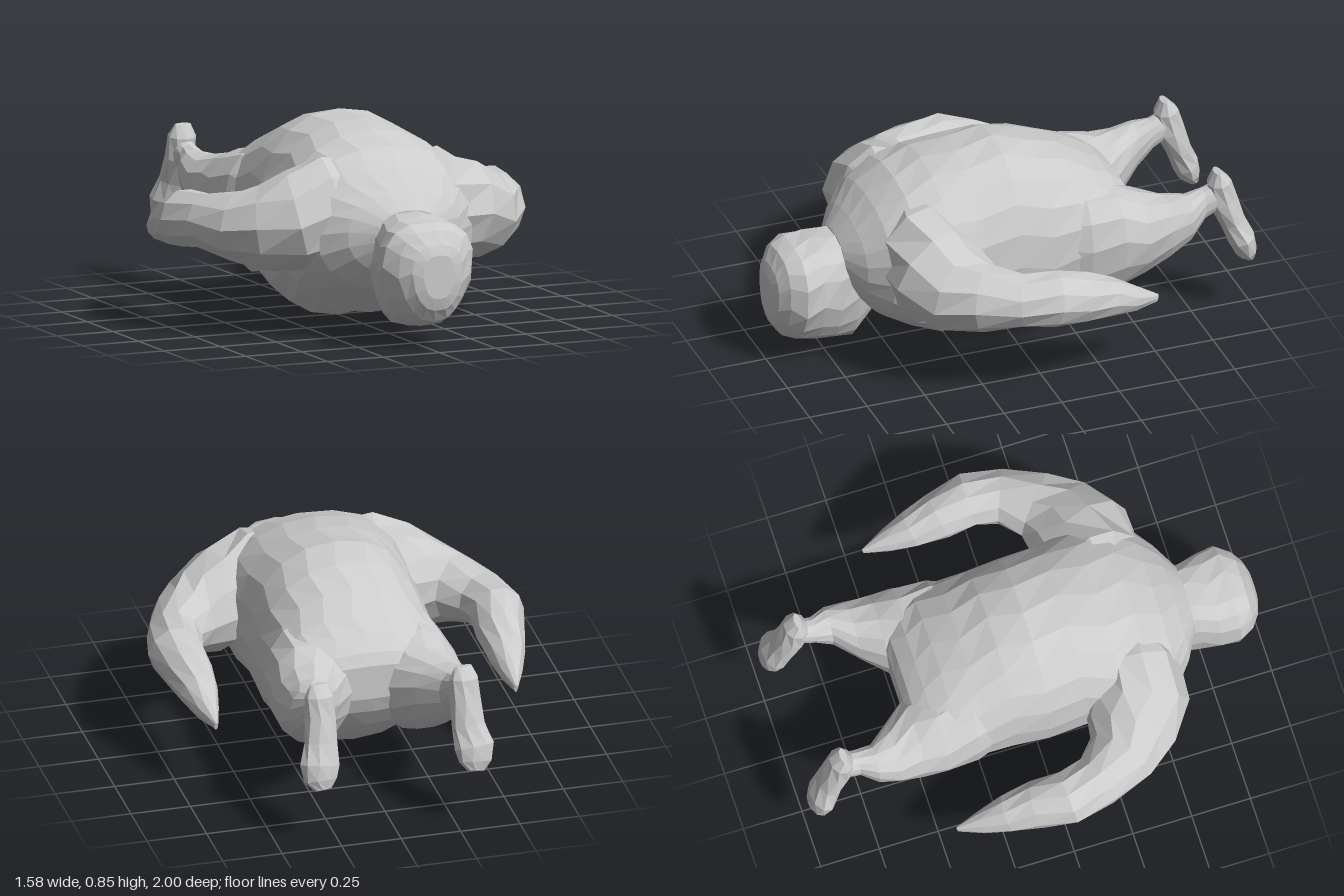
import * as THREE from 'three';

const material = new THREE.MeshStandardMaterial({ color: 0xcccccc, flatShading: true, side: THREE.DoubleSide });

// Skin a row of rounded rings. Each station: [x, y, z, half width, half height, taper]
// taper > 0 narrows the lower half of the ring.
function loft(name, stations, { sides = 14, up = [0, 1, 0], fixed = false, power = 2 } = {}) {
  const pos = [], index = [], ref = new THREE.Vector3(...up);
  const centres = stations.map(s => new THREE.Vector3(s[0], s[1], s[2]));
  const last = stations.length - 1;
  stations.forEach(([, , , w, h, taper = 0], i) => {
    const t = centres[Math.min(i + 1, last)].clone().sub(centres[Math.max(i - 1, 0)]).normalize();
    if (fixed) t.set(0, 0, -1);
    const across = new THREE.Vector3().crossVectors(ref, t).normalize();
    const high = new THREE.Vector3().crossVectors(t, across);
    for (let k = 0; k < sides; k++) {
      const a = (k + (i % 2) * 0.25) / sides * Math.PI * 2;
      const c = Math.cos(a), s = Math.sin(a);
      const v = Math.sign(s) * Math.abs(s) ** (2 / power);
      const u = Math.sign(c) * Math.abs(c) ** (2 / power) * (1 + taper * Math.min(v, 0));
      const p = centres[i].clone().addScaledVector(across, u * w).addScaledVector(high, v * h);
      pos.push(p.x, p.y, p.z);
    }
  });
  for (let i = 0; i < last; i++) for (let k = 0; k < sides; k++) {
    const a = i * sides + k, b = i * sides + (k + 1) % sides;
    index.push(a, b, a + sides, b, b + sides, a + sides);
  }
  // Close both ends
  const n = pos.length / 3;
  pos.push(...centres[0].toArray(), ...centres[last].toArray());
  for (let k = 0; k < sides; k++) {
    const j = (k + 1) % sides;
    index.push(n, j, k, n + 1, last * sides + k, last * sides + j);
  }
  const g = new THREE.BufferGeometry();
  g.setAttribute('position', new THREE.Float32BufferAttribute(pos, 3));
  g.setIndex(index);
  g.computeVertexNormals();
  const mesh = new THREE.Mesh(g, material);
  mesh.name = name;
  return mesh;
}

// Ring facing along z, given by its top and bottom heights
const ring = (z, w, top, bottom, taper, x = 0) => [x, (top + bottom) / 2, z, w, (top - bottom) / 2, taper];

export function createModel() {
  const model = new THREE.Group();
  model.name = 'lyingFigure';

  // Rounded torso with a big belly, thinning to a wedge between the hips
  model.add(loft('torso', [
    ring(0.71, 0.14, 0.54, 0.36), ring(0.65, 0.25, 0.61, 0.27), ring(0.57, 0.35, 0.69, 0.19),
    ring(0.46, 0.41, 0.765, 0.13), ring(0.33, 0.4, 0.81, 0.06), ring(0.18, 0.37, 0.835, 0.06),
    ring(0.02, 0.365, 0.85, 0.0), ring(-0.12, 0.36, 0.82, 0.03), ring(-0.25, 0.36, 0.765, 0.08),
    ring(-0.36, 0.365, 0.71, 0.16, 0.1), ring(-0.44, 0.36, 0.655, 0.24, 0.1), ring(-0.5, 0.33, 0.6, 0.33, 0.1),
    ring(-0.525, 0.3, 0.55, 0.4),
  ], { sides: 20, fixed: true, power: 2.2 }));

  // Head, wide at the crown and narrow at the chin
  model.add(loft('head', [
    ring(1.0, 0.07, 0.4, 0.22, 0.2), ring(0.985, 0.115, 0.44, 0.17, 0.3), ring(0.95, 0.16, 0.495, 0.12, 0.35),
    ring(0.89, 0.205, 0.52, 0.095, 0.38), ring(0.81, 0.19, 0.53, 0.08, 0.33), ring(0.73, 0.17, 0.535, 0.07, 0.3),
    ring(0.645, 0.15, 0.54, 0.06, 0.3), ring(0.57, 0.11, 0.48, 0.15, 0.2),
  ], { sides: 16, fixed: true, power: 2.8 }));

  for (const [side, m] of [['left', 1], ['right', -1]]) {
    // Arm sweeping out from the shoulder, bent at the elbow, back to a pointed hand
    model.add(loft(side + 'Arm', [
      [m * 0.06, 0.54, 0.43, 0.1, 0.18], [m * 0.22, 0.505, 0.42, 0.185, 0.24],
      [m * 0.36, 0.475, 0.395, 0.21, 0.21], [m * 0.475, 0.44, 0.33, 0.19, 0.185],
      [m * 0.57, 0.445, 0.255, 0.145, 0.145], [m * 0.645, 0.45, 0.13, 0.115, 0.115],
      [m * 0.675, 0.445, 0.0, 0.115, 0.12], [m * 0.655, 0.415, -0.13, 0.1, 0.11],
      [m * 0.645, 0.385, -0.25, 0.08, 0.085], [m * 0.638, 0.35, -0.36, 0.047, 0.055],
      [m * 0.63, 0.33, -0.46, 0.008, 0.018],
    ], { sides: 10, power: 1.85 }));

    // Thigh tapering to the ankle
    model.add(loft(side + 'Leg', [
      ring(-0.12, 0.1, 0.6, 0.2, 0.2, m * 0.22), ring(-0.28, 0.16, 0.66, 0.14, 0.2, m * 0.22),
      ring(-0.42, 0.18, 0.635, 0.18, 0.2, m * 0.22), ring(-0.52, 0.165, 0.6, 0.23, 0.2, m * 0.235),
      ring(-0.62, 0.12, 0.58, 0.3, 0.2, m * 0.278), ring(-0.71, 0.075, 0.585, 0.38, 0.1, m * 0.312),
      ring(-0.78, 0.05, 0.595, 0.46, 0, m * 0.3), ring(-0.85, 0.05, 0.62, 0.5, 0, m * 0.305),
    ], { sides: 13, fixed: true, power: 2.2 }));

    // Foot hanging down from the raised heel
    model.add(loft(side + 'Foot', [
      [m * 0.305, 0.67, -0.842, 0.035, 0.015], [m * 0.305, 0.62, -0.85, 0.06, 0.05],
      [m * 0.305, 0.53, -0.865, 0.065, 0.062], [m * 0.31, 0.43, -0.905, 0.07, 0.052],
      [m * 0.325, 0.35, -0.937, 0.083, 0.056], [m * 0.325, 0.29, -0.958, 0.07, 0.045],
      [m * 0.32, 0.255, -0.977, 0.035, 0.022],
    ], { sides: 9, up: [0, 0, 1] }));
  }
  return model;
}
